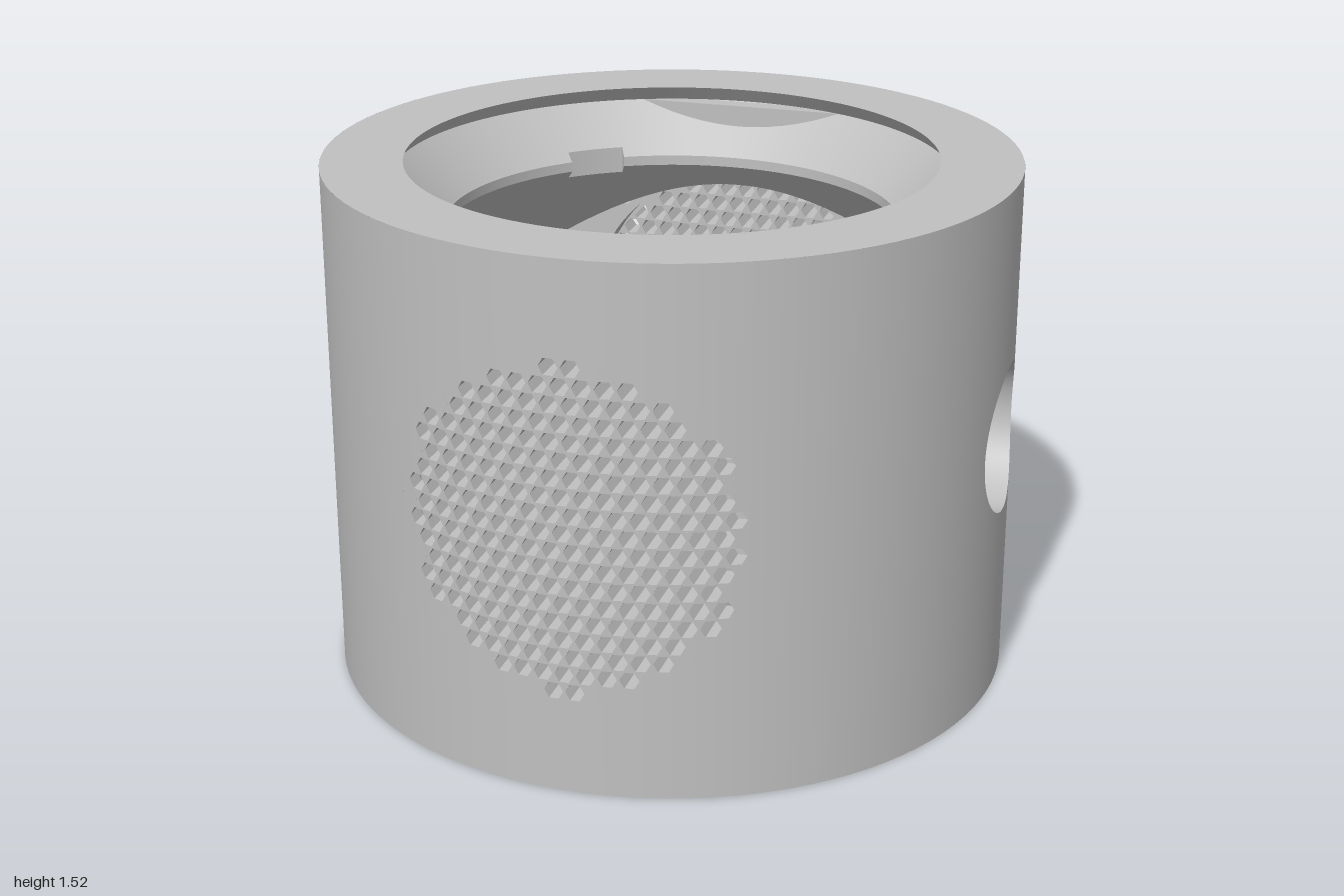
import * as THREE from 'three';

const H = 1.52, CY = 0.765;          // total height, height of the openings
const GR = 0.49, PR = 0.22;          // grille and port radii
const RI = 0.95, FLAT = 0.735;       // inner wall radius, flat mounting face
const FLOOR = 0.05, HALF = 32;
const PI = Math.PI;

const shell = new THREE.MeshStandardMaterial({ color: 0xc0c0c0, side: THREE.DoubleSide });

function add(parent, name, geometry) {
  const mesh = new THREE.Mesh(geometry, shell);
  mesh.name = name;
  parent.add(mesh);
  return mesh;
}

function range(a, b, n) {
  return Array.from({ length: n + 1 }, (_, i) => a + (b - a) * i / n);
}

// Strip of a cylinder wall between two height functions
function strip(phis, r, lo, hi, inward) {
  const pos = [], nor = [], idx = [], s = inward ? -1 : 1;
  phis.forEach((p, i) => {
    const x = Math.sin(p), z = Math.cos(p);
    pos.push(x * r, lo(p), z * r, x * r, hi(p), z * r);
    nor.push(s * x, 0, s * z, s * x, 0, s * z);
    if (i === 0) return;
    const a = 2 * i - 2, b = a + 1, c = a + 2, d = a + 3;
    if (inward) idx.push(a, d, c, a, b, d);
    else idx.push(a, c, d, a, d, b);
  });
  const g = new THREE.BufferGeometry();
  g.setAttribute('position', new THREE.Float32BufferAttribute(pos, 3));
  g.setAttribute('normal', new THREE.Float32BufferAttribute(nor, 3));
  g.setIndex(idx);
  return g;
}

// Wall piece around a round opening at angle c
function holedWall(parent, name, c, R, r, y0, y1, inward) {
  const phis = range(-PI / 2, PI / 2, HALF).map(t => c + Math.asin(R * Math.sin(t) / r));
  const half = p => Math.sqrt(Math.max(0, R * R - (r * Math.sin(p - c)) ** 2));
  add(parent, name + 'Below', strip(phis, r, () => y0, p => CY - half(p), inward));
  add(parent, name + 'Above', strip(phis, r, p => CY + half(p), () => y1, inward));
}

function plainWall(parent, name, a, b, r, y0, y1, inward) {
  const n = Math.ceil((b - a) / 0.06);
  add(parent, name, strip(range(a, b, n), r, () => y0, () => y1, inward));
}

function circle(path, x, y, r) {
  return path.absarc(x, y, r, 0, 2 * PI, false);
}

function lathe(points, start = 0, length = 2 * PI) {
  const pts = points.map(p => new THREE.Vector2(p[0], p[1]));
  return new THREE.LatheGeometry(pts, Math.ceil(length / 0.06), start, length);
}

// Sharp-edged turned profile: one lathe per segment
function turned(parent, name, points, start, length) {
  for (let i = 0; i < points.length - 1; i++) {
    add(parent, name, lathe([points[i], points[i + 1]], start, length));
  }
}

// 45 degree underside of the collar, stopped at the flat mounting faces
function roof(r0, start, length) {
  const g = lathe([[r0, 1.955 - r0], [RI, 1.955 - RI]], start, length);
  const p = g.attributes.position;
  for (let i = 0; i < p.count; i++) {
    const x = p.getX(i), z = p.getZ(i), r = Math.hypot(x, z);
    if (Math.abs(z) <= FLAT) continue;
    const k = FLAT / Math.abs(z);
    p.setXYZ(i, x * k, 1.955 - r * k, z * k);
  }
  return g;
}

// Perforated disc whose outer face follows the cylinder
function grilleGeometry(side) {
  const outline = range(0, 2 * PI, 2 * HALF).slice(0, -1)
    .map(t => new THREE.Vector2(GR * Math.sin(-t), GR * Math.cos(t)));
  const shape = new THREE.Shape(outline);
  const dx = 0.0593, dy = 0.0514, hr = 0.0268;
  for (let row = -9; row <= 9; row++) {
    const shift = row % 2 === 0 ? 0 : 0.5;
    for (let col = -9; col <= 9; col++) {
      const x = (col + shift) * dx, y = row * dy;
      if (Math.hypot(x + 0.005, y) > 0.47) continue;
      const hex = range(0, 2 * PI, 6).slice(0, -1)
        .map(a => new THREE.Vector2(side * x + hr * Math.cos(a), y + hr * Math.sin(a)));
      shape.holes.push(new THREE.Path(hex));
    }
  }
  const g = new THREE.ExtrudeGeometry(shape, { depth: 0.1, bevelEnabled: false });
  const p = g.attributes.position, n = g.attributes.normal;
  for (let i = 0; i < p.count; i++) {
    const x = p.getX(i), front = p.getZ(i) > 0.05, z = Math.sqrt(1 - x * x);
    p.setZ(i, front ? z : 0.83);
    if (front && n.getZ(i) > 0.9) n.setXYZ(i, x, 0, z);
  }
  return g.translate(0, CY, 0);
}

function grilleUnit(side) {
  const unit = new THREE.Group();
  unit.name = side > 0 ? 'frontGrille' : 'backGrille';
  add(unit, 'perforatedGrille', grilleGeometry(side));

  // Flat mounting panel with bore and screw holes
  const w = Math.sqrt(RI * RI - FLAT * FLAT);
  const panel = new THREE.Shape([[-w, FLOOR], [w, FLOOR], [w, 1.475], [-w, 1.475]]
    .map(p => new THREE.Vector2(p[0], p[1])));
  panel.holes.push(circle(new THREE.Path(), 0, CY, GR));
  for (const sx of [-1, 1]) for (const sy of [-1, 1]) {
    panel.holes.push(circle(new THREE.Path(), sx * 0.374, CY + sy * 0.374, 0.014));
  }
  const pg = new THREE.ExtrudeGeometry(panel, { depth: 0.055, bevelEnabled: false, curveSegments: 48 });
  add(unit, 'mountingPanel', pg.translate(0, 0, FLAT));

  const bore = new THREE.CylinderGeometry(GR, GR, 0.04, 64, 1, true).rotateX(PI / 2);
  add(unit, 'mountingBore', bore.translate(0, CY, 0.81));
  if (side < 0) unit.rotation.y = PI;
  return unit;
}

export function createModel() {
  const model = new THREE.Group();
  model.name = 'perforatedHousing';

  // Outer wall with two grille openings and one side port
  const hg = Math.asin(GR), hp = Math.asin(PR);
  holedWall(model, 'frontWall', 0, GR, 1, 0, H, false);
  holedWall(model, 'portWall', PI / 2, PR, 1, 0, H, false);
  holedWall(model, 'backWall', PI, GR, 1, 0, H, false);
  plainWall(model, 'outerWall', hg, PI / 2 - hp, 1, 0, H, false);
  plainWall(model, 'outerWall', PI / 2 + hp, PI - hg, 1, 0, H, false);
  plainWall(model, 'outerWall', PI + hg, 2 * PI - hg, 1, 0, H, false);

  // Inner wall between the flat panels
  const e = Math.acos(FLAT / RI), ip = Math.asin(PR / RI), top = 1.955 - RI;
  holedWall(model, 'innerPortWall', PI / 2, PR, RI, FLOOR, top, true);
  plainWall(model, 'innerWall', e, PI / 2 - ip, RI, FLOOR, top, true);
  plainWall(model, 'innerWall', PI / 2 + ip, PI - e, RI, FLOOR, top, true);
  plainWall(model, 'innerWall', PI + e, 2 * PI - e, RI, FLOOR, top, true);

  // Top rim, undercut groove and collar with three bayonet notches
  turned(model, 'topRim', [[1, H], [0.765, H], [0.8, 1.475]]);
  const notchEnd = new THREE.Shape([[0.655, 1.33], [0.655, 1.3], [0.68, 1.275], [0.68, 1.355]]
    .map(p => new THREE.Vector2(p[0], p[1])));
  const deg = PI / 180;
  for (let k = 0; k < 3; k++) {
    const a = (90 + 120 * k) * deg, b = a + 15 * deg;
    turned(model, 'collarNotch', [[0.8, 1.475], [0.68, 1.355], [0.68, 1.275]], a, 15 * deg);
    turned(model, 'collar', [[0.8, 1.475], [0.655, 1.33], [0.655, 1.3]], b, 105 * deg);
    add(model, 'notchRoof', roof(0.68, a, 15 * deg));
    add(model, 'collarRoof', roof(0.655, b, 105 * deg));
    for (const phi of [a, b]) {
      add(model, 'notchEnd', new THREE.ShapeGeometry(notchEnd)).rotation.y = phi - PI / 2;
    }
  }

  // Floor ring, screw holes and posts
  turned(model, 'floorRing', [[RI, FLOOR], [0.59, FLOOR], [0.59, 0]]);
  const base = circle(new THREE.Shape(), 0, 0, 1);
  base.holes.push(circle(new THREE.Path(), 0, 0, 0.59));
  for (const sx of [-1, 1]) for (const sz of [-1, 1]) {
    const x = 0.46 * sx, z = 0.46 * sz;
    base.holes.push(circle(new THREE.Path(), x, z, 0.011));
    add(model, 'screwHole', new THREE.CylinderGeometry(0.011, 0.011, 0.1, 16, 1, true)
      .translate(x, 0.05, z));
    add(model, 'screwPost', new THREE.CylinderGeometry(0.045, 0.045, 0.11, 32)
      .translate(x, 0.1, z));
  }
  add(model, 'baseFace', new THREE.ShapeGeometry(base, 52).rotateX(PI / 2));

  model.add(grilleUnit(1), grilleUnit(-1));

  // Recessed port cup on the side
  const port = new THREE.Group();
  port.name = 'sidePort';
  const tube = new THREE.CylinderGeometry(PR, PR, 0.2, 64, 1, true).rotateZ(-PI / 2).translate(0.9, 0, 0);
  const tp = tube.attributes.position;
  for (let i = 0; i < tp.count; i++) {
    if (tp.getX(i) > 0.9) tp.setX(i, Math.sqrt(1 - tp.getZ(i) ** 2));
  }
  add(port, 'portTube', tube);
  add(port, 'portSleeve', new THREE.CylinderGeometry(0.26, 0.26, 0.19, 64, 1, true)
    .rotateZ(-PI / 2).translate(0.865, 0, 0));
  const plate = circle(new THREE.Shape(), 0, 0, 0.26);
  plate.holes.push(circle(new THREE.Path(), 0, 0, 0.04), circle(new THREE.Path(), 0, 0.085, 0.018));
  add(port, 'portPlate', new THREE.ExtrudeGeometry(plate, { depth: 0.03, bevelEnabled: false, curveSegments: 32 })
    .rotateY(PI / 2).translate(0.77, 0, 0));
  port.position.y = CY;
  model.add(port);

  return model;
}
